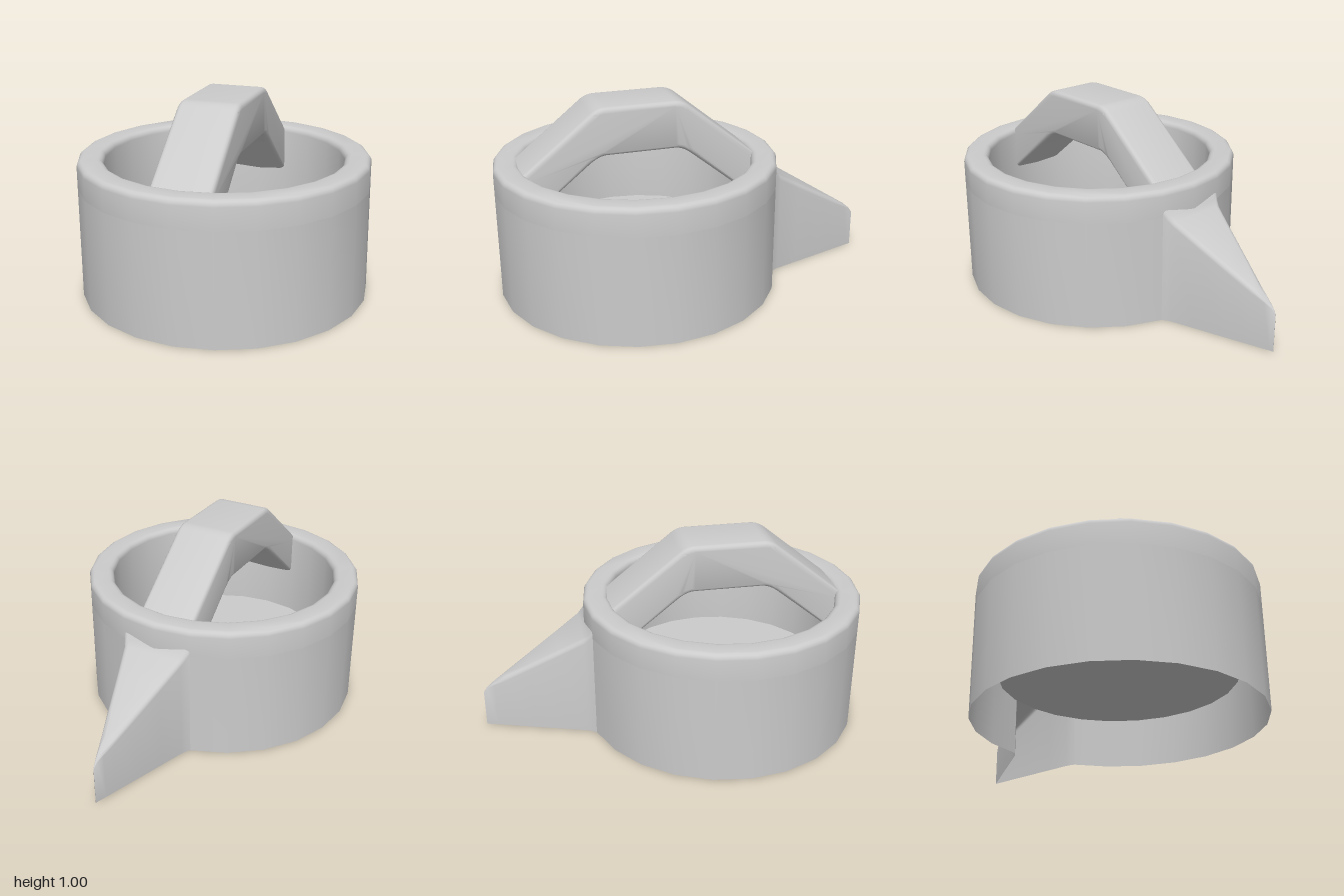
import * as THREE from 'three';
import { toCreasedNormals } from 'three/addons/utils/BufferGeometryUtils.js';

const material = new THREE.MeshStandardMaterial({ color: 0xcccccc, side: THREE.DoubleSide });
const CENTRE_Z = 0.27, R = 0.725, INNER = 0.595, TOP = 0.7, ROUND = 0.03, SIDES = 24;
const SPLIT = 0.56; // height of the opening behind the pointer
const STEP = (Math.PI * 2) / SIDES;

function addMesh(group, name, geometry, crease = 0.6) {
  const mesh = new THREE.Mesh(toCreasedNormals(geometry, crease), material);
  mesh.name = name;
  group.add(mesh);
  return mesh;
}

// Quarter-round points from angle a to angle b
function arc(cx, cy, r, a, b, n = 4) {
  return Array.from({ length: n + 1 }, (_, i) => {
    const t = a + ((b - a) * i) / n;
    return new THREE.Vector2(cx + r * Math.cos(t), cy + r * Math.sin(t));
  });
}

// Hollow pointer: arched cross-sections that shrink to a vertical edge
function pointerGeometry() {
  // z, half width, height
  const sections = [
    [-0.43, 0.188, 0.6], [-0.45, 0.175, 0.57], [-0.475, 0.163, 0.545], [-0.6, 0.124, 0.468],
    [-0.75, 0.078, 0.378], [-0.88, 0.037, 0.3], [-0.94, 0.0185, 0.262], [-0.98, 0.006, 0.228], [-1, 0.0005, 0.2],
  ];
  const positions = [], index = [];
  let count = 0;
  for (const [z, w, h] of sections) {
    const r = Math.min(0.025, w * 0.9);
    const outline = [
      new THREE.Vector2(w, 0),
      ...arc(w - r, h - r, r, 0, Math.PI / 2),
      ...arc(-w + r, h - r, r, Math.PI / 2, Math.PI),
      new THREE.Vector2(-w, 0),
    ];
    count = outline.length;
    outline.forEach((p) => positions.push(p.x, p.y, z));
  }
  for (let s = 0; s < sections.length - 1; s++) {
    for (let i = 0; i < count - 1; i++) {
      const a = s * count + i, b = a + 1, c = a + count, d = c + 1;
      index.push(a, c, b, b, c, d);
    }
  }
  const geometry = new THREE.BufferGeometry();
  geometry.setAttribute('position', new THREE.Float32BufferAttribute(positions, 3));
  geometry.setIndex(index);
  return geometry;
}

// Arched grip, drawn from the side and extruded across the cup
function handleGeometry() {
  const s = new THREE.Shape();
  s.moveTo(-0.63, 0.42);
  s.lineTo(-0.63, 0.665);
  s.lineTo(-0.25, 0.973);
  s.quadraticCurveTo(-0.215, 1, -0.175, 1);
  s.lineTo(0.175, 1);
  s.quadraticCurveTo(0.215, 1, 0.25, 0.973);
  s.lineTo(0.63, 0.665);
  s.lineTo(0.63, 0.42);
  s.lineTo(0.265, 0.715);
  s.quadraticCurveTo(0.215, 0.755, 0.175, 0.755);
  s.lineTo(-0.175, 0.755);
  s.quadraticCurveTo(-0.215, 0.755, -0.265, 0.715);
  s.closePath();
  const bevel = 0.025, width = 0.304;
  const geometry = new THREE.ExtrudeGeometry(s, {
    depth: width - 2 * bevel, bevelThickness: bevel, bevelSize: bevel, bevelOffset: -bevel,
    bevelSegments: 4, curveSegments: 6,
  });
  geometry.translate(0, 0, -width / 2 + bevel);
  geometry.rotateY(-Math.PI / 2);
  return geometry;
}

export function createModel() {
  const group = new THREE.Group();
  group.name = 'knob';

  // Upper wall, rounded rim, recessed cup and its floor
  const cup = [
    new THREE.Vector2(R, SPLIT),
    ...arc(R - ROUND, TOP - ROUND, ROUND, 0, Math.PI / 2),
    ...arc(INNER + ROUND, TOP - ROUND, ROUND, Math.PI / 2, Math.PI),
    new THREE.Vector2(INNER, 0.22),
    new THREE.Vector2(0, 0.22),
  ];
  addMesh(group, 'rimAndCup', new THREE.LatheGeometry(cup, SIDES)).position.z = CENTRE_Z;

  // Lower skirt, open underneath and where the pointer joins
  const skirt = [new THREE.Vector2(R, 0), new THREE.Vector2(R, SPLIT)];
  const skirtGeometry = new THREE.LatheGeometry(skirt, SIDES - 2, Math.PI + STEP, Math.PI * 2 - 2 * STEP);
  addMesh(group, 'skirt', skirtGeometry).position.z = CENTRE_Z;

  addMesh(group, 'handle', handleGeometry()).position.z = 0.275;
  addMesh(group, 'pointer', pointerGeometry(), 0.7);
  return group;
}
